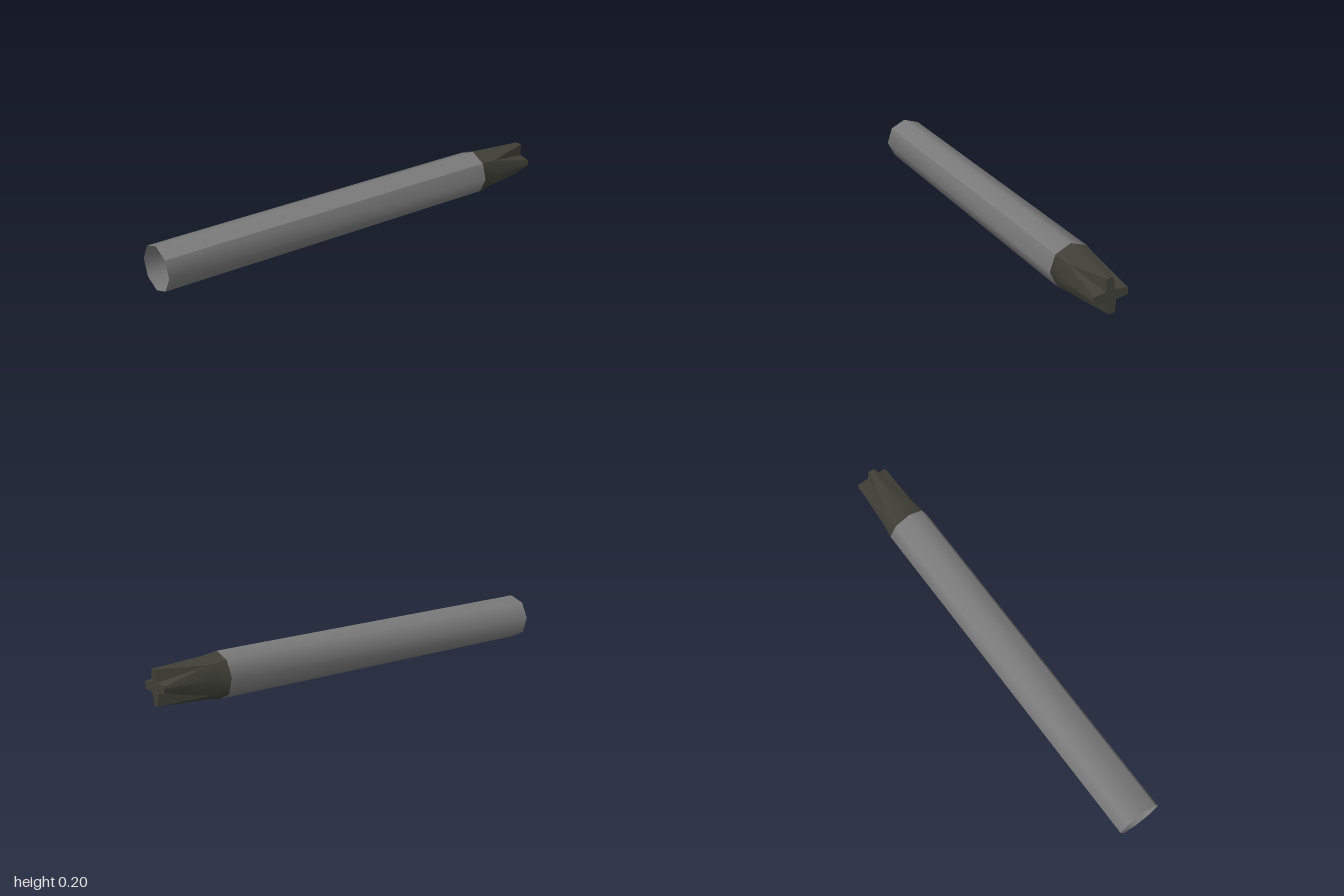
import * as THREE from 'three';

const steel = new THREE.MeshStandardMaterial({ color: 0x7a7a7a, side: THREE.DoubleSide });
steel.name = 'grey steel';
const dark = new THREE.MeshStandardMaterial({ color: 0x3f3f37, side: THREE.DoubleSide });
dark.name = 'dark tip metal';

const polar = (r, deg, z) => {
  const a = THREE.MathUtils.degToRad(deg);
  return [r * Math.cos(a), r * Math.sin(a), z];
};
const turn = ([x, y, z], deg) => {
  const a = THREE.MathUtils.degToRad(deg), c = Math.cos(a), s = Math.sin(a);
  return [x * c - y * s, x * s + y * c, z];
};

// Skin over rows of points, running from front to back; a collapsed row gives a fan
function loft(rows, flat = false) {
  const n = rows[0].length, index = [];
  for (let r = 0; r < rows.length - 1; r++) {
    for (let i = 0; i < n - 1; i++) {
      const a = r * n + i, b = a + 1, c = a + n, d = c + 1;
      if (rows[r][i] !== rows[r][i + 1]) index.push(a, c, b);
      index.push(b, c, d);
    }
  }
  let geo = new THREE.BufferGeometry();
  geo.setAttribute('position', new THREE.Float32BufferAttribute(rows.flat(2), 3));
  geo.setIndex(index);
  if (flat) geo = geo.toNonIndexed();
  geo.computeVertexNormals();
  return geo;
}

export function createModel() {
  const model = new THREE.Group();
  model.name = 'crossTipShaft';
  const add = (name, geo, mat) => {
    const mesh = new THREE.Mesh(geo, mat);
    mesh.name = name;
    model.add(mesh);
  };

  // Open eight-sided shaft with one sharp seam at the upper right
  const ring = (z) => Array.from({ length: 9 }, (_, i) => polar(0.102, 45 + i * 45, z));
  add('shaft', loft([ring(1), ring(-0.7)]), steel);

  // Tip: collar narrowing into four arms with V grooves between them
  const zGroove = -0.78;
  const inner = [0.022, 0.022, -1];
  const cornerA = [0.076, 0.015, -1], cornerB = [0.015, 0.076, -1];
  const cross = [];
  for (let k = 0; k < 4; k++) {
    const q = k * 90;
    const arm = [
      [-45, 0, 45].map((a) => polar(0.102, q + a, -0.7)),
      [-45, 0, 45].map((a) => polar(0.091, q + a, zGroove)),
      [[0.076, -0.015, -1], [0.077, 0, -1], cornerA].map((p) => turn(p, q)),
    ];
    add('tipArm', loft(arm), dark);

    const start = polar(0.091, q + 45, zGroove);
    const end = [cornerA, inner, cornerB].map((p) => turn(p, q));
    add('tipGroove', loft([[start, start, start], end], true), dark);

    for (const p of [[0.077, 0, -1], cornerA, inner, cornerB]) {
      const [x, y] = turn(p, q);
      cross.push(new THREE.Vector2(x, y));
    }
  }

  // Flat cross closing the tip
  const cap = new THREE.ShapeGeometry(new THREE.Shape(cross));
  cap.rotateY(Math.PI);
  cap.scale(-1, 1, 1);
  // mirroring reverses the corners, so restore the outward order
  const order = cap.index.array;
  for (let i = 0; i < order.length; i += 3) [order[i], order[i + 1]] = [order[i + 1], order[i]];
  cap.translate(0, 0, -1);
  cap.computeVertexNormals();
  add('tipEnd', cap, dark);

  model.rotation.z = THREE.MathUtils.degToRad(-4.5);
  model.position.y = 0.102;
  const root = new THREE.Group();
  root.name = 'model';
  root.add(model);
  return root;
}
